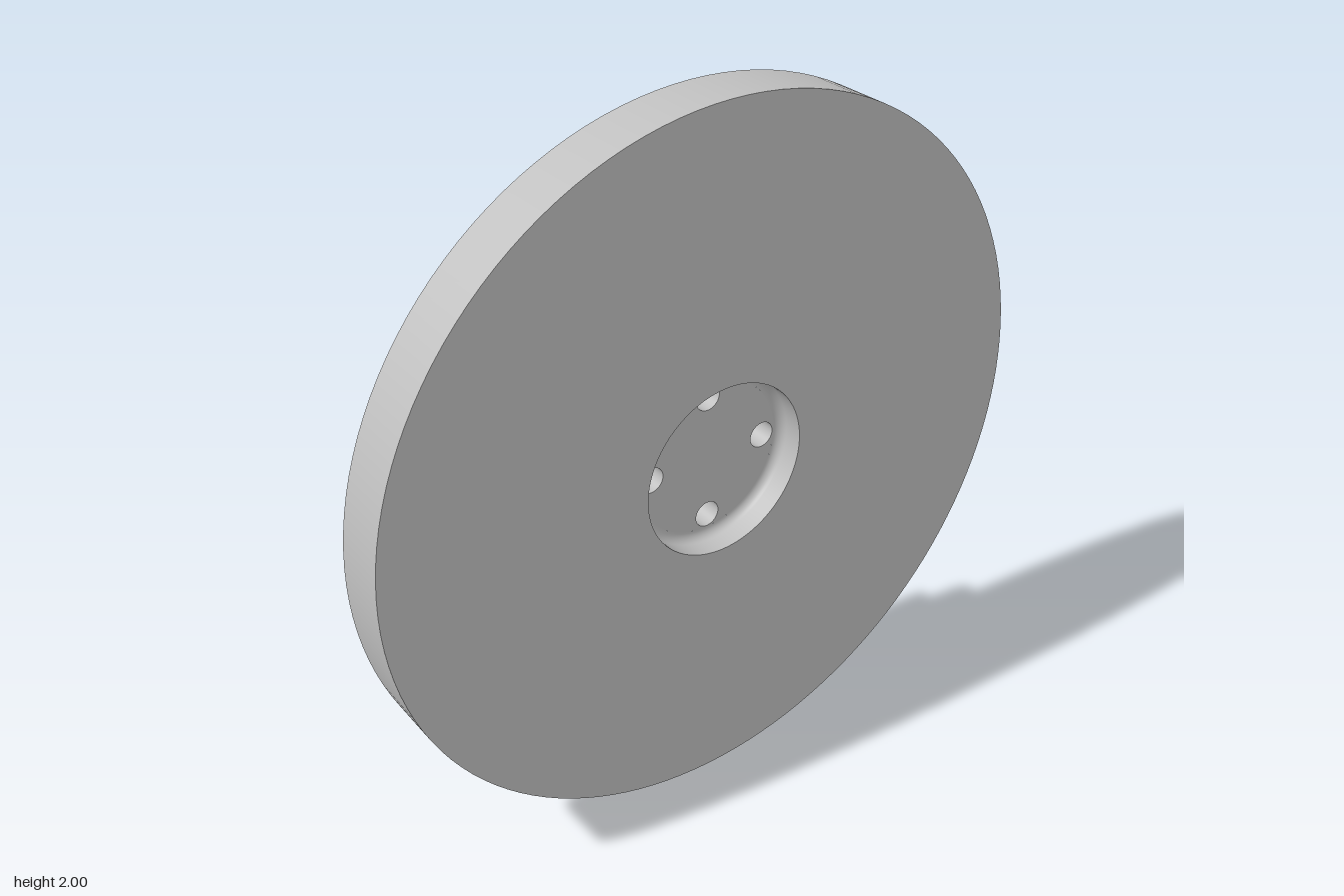
import * as THREE from 'three';
import { mergeGeometries, toCreasedNormals } from 'three/addons/utils/BufferGeometryUtils.js';

const SEG = 128;
const BACK = -0.1725, HUB_BACK = -0.121, DISC_BACK = 0.0165, FRONT = 0.1725;
const FLOOR = 0.094, BORE_FLOOR = -0.1;
const HUB_R = 0.247, BOSS_R = 0.136, BOLT_R = 0.037, BOLT_CIRCLE = 0.181, FILLET = 0.025;

// Surface of revolution around z from [radius, z] pairs; each run is smooth, runs meet sharply
function turned(...runs) {
  const parts = runs.map((run) =>
    new THREE.LatheGeometry(run.map(([r, z]) => new THREE.Vector2(r, z)), SEG));
  return mergeGeometries(parts).rotateX(Math.PI / 2);
}

// Every straight line of the profile becomes its own sharp-edged run
const steps = (pts) => pts.slice(1).map((p, i) => [pts[i], p]);

function circle(r, x = 0, y = 0, Type = THREE.Path) {
  return new Type().absarc(x, y, r, 0, Math.PI * 2, false);
}

const boltCentres = [0, 1, 2, 3].map((i) => [
  BOLT_CIRCLE * Math.cos(i * Math.PI / 2), BOLT_CIRCLE * Math.sin(i * Math.PI / 2)]);

// Flat round face with the given holes, facing front or back
function face(r, z, holes, back) {
  const s = circle(r, 0, 0, THREE.Shape);
  s.holes.push(...holes);
  const g = new THREE.ShapeGeometry(s, 48);
  if (back) g.rotateY(Math.PI);
  return g.translate(0, 0, z);
}

export function createModel() {
  const group = new THREE.Group();
  const steel = new THREE.MeshStandardMaterial({ color: 0xc0c0c0 });
  const add = (name, geometry) => {
    const mesh = new THREE.Mesh(geometry, steel);
    mesh.name = name;
    group.add(mesh);
    return mesh;
  };
  const bolts = () => boltCentres.map(([x, y]) => circle(BOLT_R, x, y));

  // Large disc with a filleted recess in the front
  const wall = [[HUB_R, FRONT]];
  for (let i = 0; i <= 8; i++) {
    const a = i / 8 * Math.PI / 2;
    wall.push([HUB_R - FILLET * (1 - Math.cos(a)), FLOOR + FILLET * (1 - Math.sin(a))]);
  }
  add('disc', turned(
    ...steps([[HUB_R, DISC_BACK], [1, DISC_BACK], [1, FRONT], [HUB_R, FRONT]]), wall));
  add('recessFloor', face(HUB_R - FILLET, FLOOR, bolts(), false));

  // Hub with a narrow groove around it
  add('hub', turned(...steps([
    [HUB_R - 0.004, HUB_BACK], [HUB_R, HUB_BACK + 0.004], [HUB_R, -0.066],
    [HUB_R - 0.012, -0.066], [HUB_R - 0.012, -0.058], [HUB_R, -0.058], [HUB_R, DISC_BACK]])));
  add('hubBackFace', face(HUB_R - 0.004, HUB_BACK, [circle(BOSS_R - 0.01), ...bolts()], true));

  // Bolt holes running right through
  boltCentres.forEach(([x, y]) => {
    add('boltHole', turned([[BOLT_R, FLOOR], [BOLT_R, HUB_BACK]])).position.set(x, y, 0);
  });

  // Boss with a splined bore
  const boss = circle(BOSS_R, 0, 0, THREE.Shape);
  const spline = new THREE.Path();
  const teeth = 24;
  for (let i = 0; i < teeth; i++) {
    [[0, 0.078], [0.3, 0.078], [0.5, 0.092], [0.8, 0.092]].forEach(([t, r], k) => {
      const a = (i + t) / teeth * Math.PI * 2;
      spline[i + k ? 'lineTo' : 'moveTo'](r * Math.cos(a), r * Math.sin(a));
    });
  }
  spline.closePath();
  boss.holes.push(spline);
  const bossGeometry = new THREE.ExtrudeGeometry(boss, {
    depth: BORE_FLOOR - BACK, bevelEnabled: false, curveSegments: 64 });
  add('splinedBoss', toCreasedNormals(bossGeometry.translate(0, 0, BACK), 0.4));

  // Bore floor and the blind centre hole
  add('boreFloor', face(0.1, BORE_FLOOR, [circle(0.04)], true));
  add('centreHole', turned([[0.04, 0.05], [0.04, BORE_FLOOR]]));
  add('centreHoleEnd', face(0.04, 0.05, [], true));

  group.children.forEach((part) => { part.position.y += 1; });
  return group;
}
